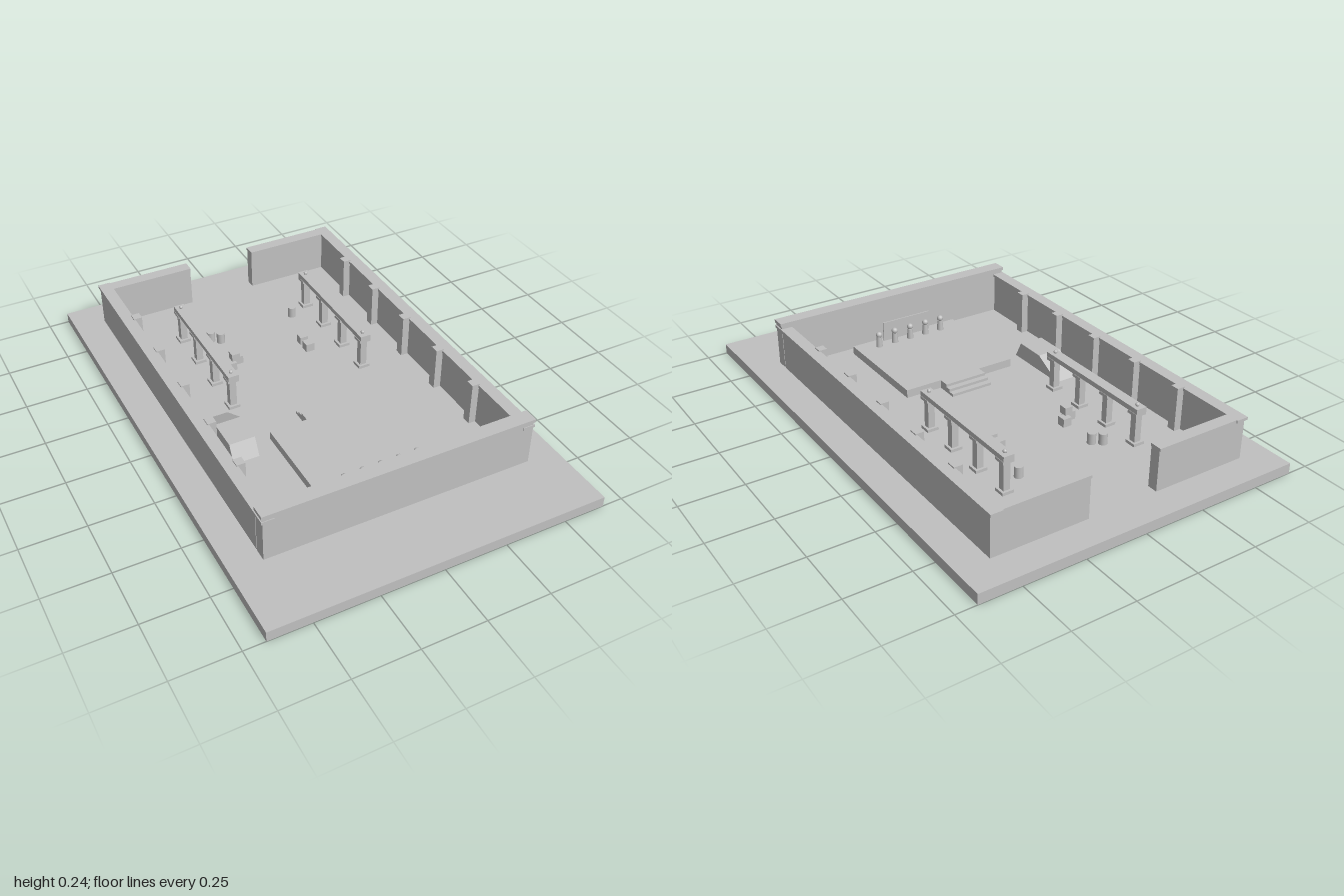
import * as THREE from 'three';

export function createModel() {
  const model = new THREE.Group();
  model.name = 'walledCourtyard';
  const stone = new THREE.MeshStandardMaterial({ color: 0xc0c0c0 });
  stone.name = 'grey stone';
  const FLOOR = 0.042;

  function add(name, geometry, x = 0, y = 0, z = 0) {
    const mesh = new THREE.Mesh(geometry, stone);
    mesh.name = name;
    mesh.position.set(x, y, z);
    model.add(mesh);
    return mesh;
  }
  // Box given by its limits on each axis
  function block(name, x0, x1, y0, y1, z0, z1) {
    return add(name, new THREE.BoxGeometry(x1 - x0, y1 - y0, z1 - z0),
      (x0 + x1) / 2, (y0 + y1) / 2, (z0 + z1) / 2);
  }
  // Box given by its centre on the ground plan
  function post(name, x, z, width, y0, y1, depth = width) {
    return block(name, x - width / 2, x + width / 2, y0, y1, z - depth / 2, z + depth / 2);
  }

  // Ground slab
  block('groundSlab', -0.667, 0.667, 0, FLOOR, -1, 1);

  // Front wall with a raised, overhanging coping
  block('frontWall', -0.54, 0.54, FLOOR, 0.228, 0.664, 0.716);
  block('frontWallCoping', -0.545, 0.545, 0.228, 0.242, 0.661, 0.72);

  for (const s of [-1, 1]) {
    // Side wall and its pilasters
    const sideX = s * 0.519;
    post('sideWall', sideX, -0.1075, 0.042, FLOOR, 0.206, 1.535);
    post('sideWallCoping', s * 0.52, -0.11, 0.05, 0.206, 0.217, 1.55);
    post('frontCornerCoping', s * 0.52, 0.69, 0.05, 0.206, 0.217, 0.058);
    for (let i = 0; i < 5; i++) {
      post('pilaster', s * 0.485, 0.415 - i * 0.25, 0.034, FLOOR, 0.222, 0.036);
    }
    // Back wall stub beside the gateway
    post('backWall', s * 0.322, -0.854, 0.352, FLOOR, 0.206, 0.042);
    post('backWallCoping', s * 0.32, -0.855, 0.35, 0.206, 0.217, 0.05);

    // Colonnade: four square columns carrying a beam
    const x = s * 0.29;
    for (let i = 0; i < 4; i++) {
      const z = -0.087 - i * 0.1667;
      post('columnBase', x, z, 0.048, FLOOR, 0.054);
      post('columnShaft', x, z, 0.028, 0.054, 0.168);
      post('columnCapital', x, z, 0.047, 0.168, 0.18);
    }
    post('colonnadeBeam', x, -0.337, 0.044, 0.18, 0.2, 0.552);
    for (const z of [-0.087, -0.587]) {
      add('beamKnob', new THREE.SphereGeometry(0.008, 10, 8), x, 0.205, z);
    }
  }

  // Stage and its steps
  const STAGE = 0.076;
  block('stage', -0.248, 0.245, FLOOR, STAGE, 0.163, 0.62);
  [0.072, 0.096, 0.119].forEach((z, i) => {
    const end = [0.096, 0.119, 0.163][i];
    block('stageStep', -0.092, 0.09, FLOOR, FLOOR + (STAGE - FLOOR) * (i + 1) / 3, z, end);
  });

  // Panel and row of figures on the stage
  block('stagePanel', -0.113, 0.11, STAGE, 0.16, 0.595, 0.6);
  for (let i = -2; i <= 2; i++) {
    add('figureBody', new THREE.CylinderGeometry(0.011, 0.014, 0.044, 12), i * 0.075, STAGE + 0.022, 0.563);
    add('figureHead', new THREE.SphereGeometry(0.013, 12, 8), i * 0.075, STAGE + 0.053, 0.563);
  }

  // Ramp: gentle slope behind, flat top, steep front
  const profile = new THREE.Shape();
  profile.moveTo(-0.235, 0);
  profile.lineTo(-0.2, 0.068);
  profile.lineTo(-0.07, 0.068);
  profile.lineTo(0.055, 0);
  profile.closePath();
  const ramp = add('ramp', new THREE.ExtrudeGeometry(profile, { depth: 0.104, bevelEnabled: false }),
    -0.43, FLOOR, 0);
  ramp.rotation.y = Math.PI / 2;

  // Barrels
  for (const [x, z] of [[-0.19, -0.525], [-0.156, -0.5], [0.197, -0.538]]) {
    add('barrel', new THREE.CylinderGeometry(0.017, 0.017, 0.045, 16), x, FLOOR + 0.0225, z);
  }

  // Crates, one resting on two others
  for (const [x, z, w] of [[-0.195, -0.308, 0.037], [-0.153, -0.34, 0.037],
    [0.148, -0.34, 0.035], [0.148, -0.285, 0.038]]) {
    post('crate', x, z, w, FLOOR, FLOOR + 0.035);
  }
  post('topCrate', -0.174, -0.32, 0.034, FLOOR + 0.035, FLOOR + 0.066);

  return model;
}
